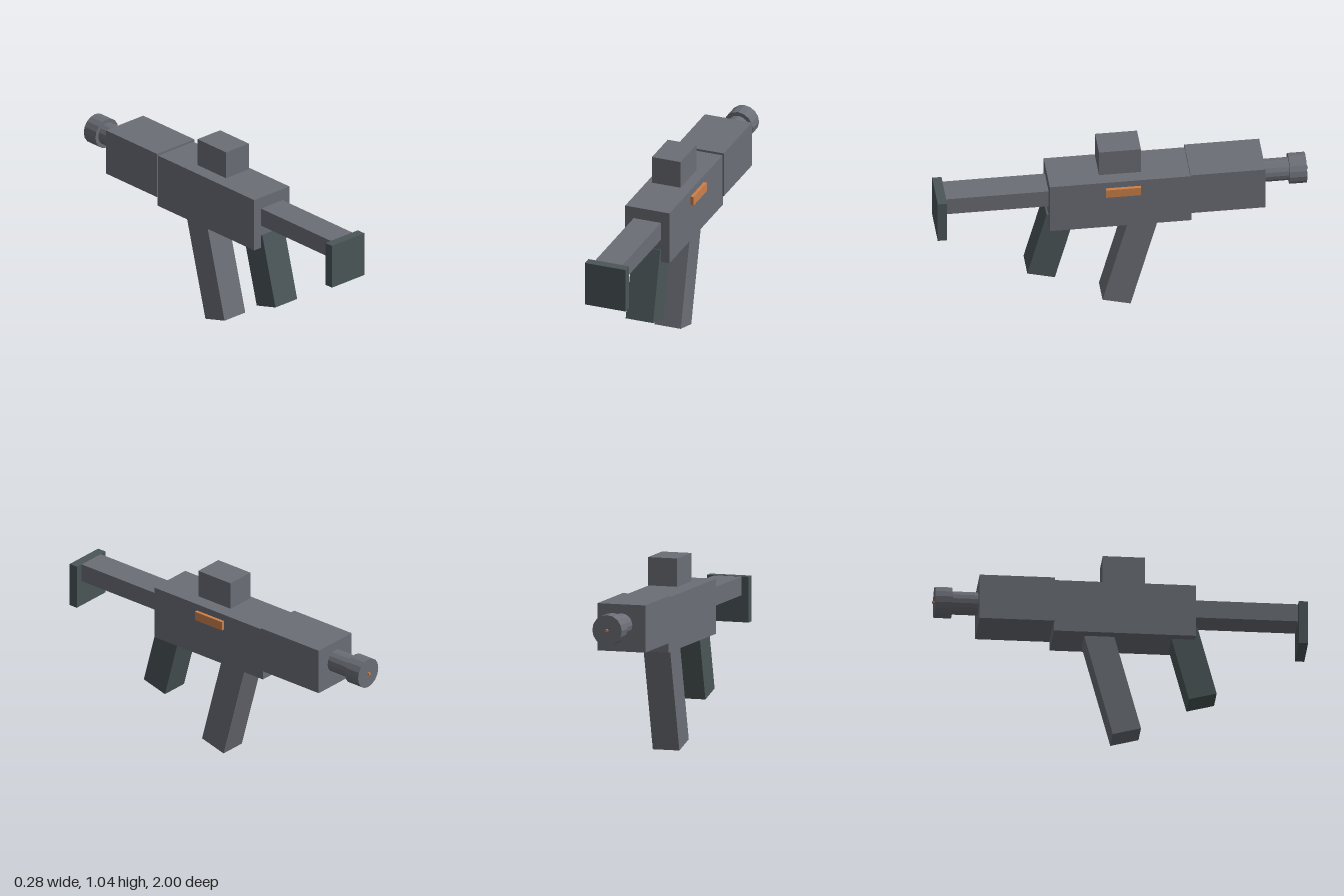
import * as THREE from 'three';

export function createModel() {
  const model = new THREE.Group();
  const material = (name, color) => {
    const m = new THREE.MeshStandardMaterial({ color, flatShading: true });
    m.name = name;
    return m;
  };
  const grey = material('gunmetal grey', 0x6b6e76);
  const slate = material('dark slate', 0x4b5658);
  const orange = material('orange', 0xcc804a);
  const CX = -0.007; // shared centre line of the body parts
  const AXIS_Y = 0.772; // barrel height

  const add = (name, geometry, mat, x, y, z, tilt = 0) => {
    const mesh = new THREE.Mesh(geometry, mat);
    mesh.name = name;
    mesh.position.set(x, y, z);
    mesh.rotation.x = tilt;
    model.add(mesh);
    return mesh;
  };
  // Box given by its width and its y and z ranges
  const block = (name, mat, width, y0, y1, z0, z1, x = CX) =>
    add(name, new THREE.BoxGeometry(width, y1 - y0, z1 - z0), mat, x, (y0 + y1) / 2, (z0 + z1) / 2);
  // Low-poly cylinder lying along z
  const tube = (name, mat, radius, z0, z1) =>
    add(name, new THREE.CylinderGeometry(radius, radius, z1 - z0, 16), mat, CX, AXIS_Y, (z0 + z1) / 2, Math.PI / 2);

  // Main body
  block('receiver', grey, 0.254, 0.574, 0.87, -0.36, 0.4);
  block('handguard', grey, 0.27, 0.628, 0.882, -0.757, -0.355);
  block('sight', grey, 0.164, 0.891, 1.043, -0.095, 0.13);
  block('ejectionCover', orange, 0.028, 0.783, 0.833, -0.088, 0.1, 0.124);

  // Shoulder stock
  block('stockBar', grey, 0.156, 0.705, 0.805, 0.39, 0.955);
  block('buttPlate', slate, 0.234, 0.56, 0.806, 0.95, 1.0);

  // Slanted grip and magazine
  const tilt = -Math.PI / 12;
  add('grip', new THREE.BoxGeometry(0.157, 0.4, 0.153), slate, CX, 0.436, 0.389, tilt);
  add('magazine', new THREE.BoxGeometry(0.15, 0.65, 0.156), grey, CX, 0.337, -0.049, tilt);

  // Barrel, muzzle and its tip
  tube('barrel', grey, 0.062, -0.9, -0.74);
  tube('muzzle', grey, 0.083, -0.988, -0.896);
  tube('muzzleTip', orange, 0.008, -1.0, -0.98);

  return model;
}
